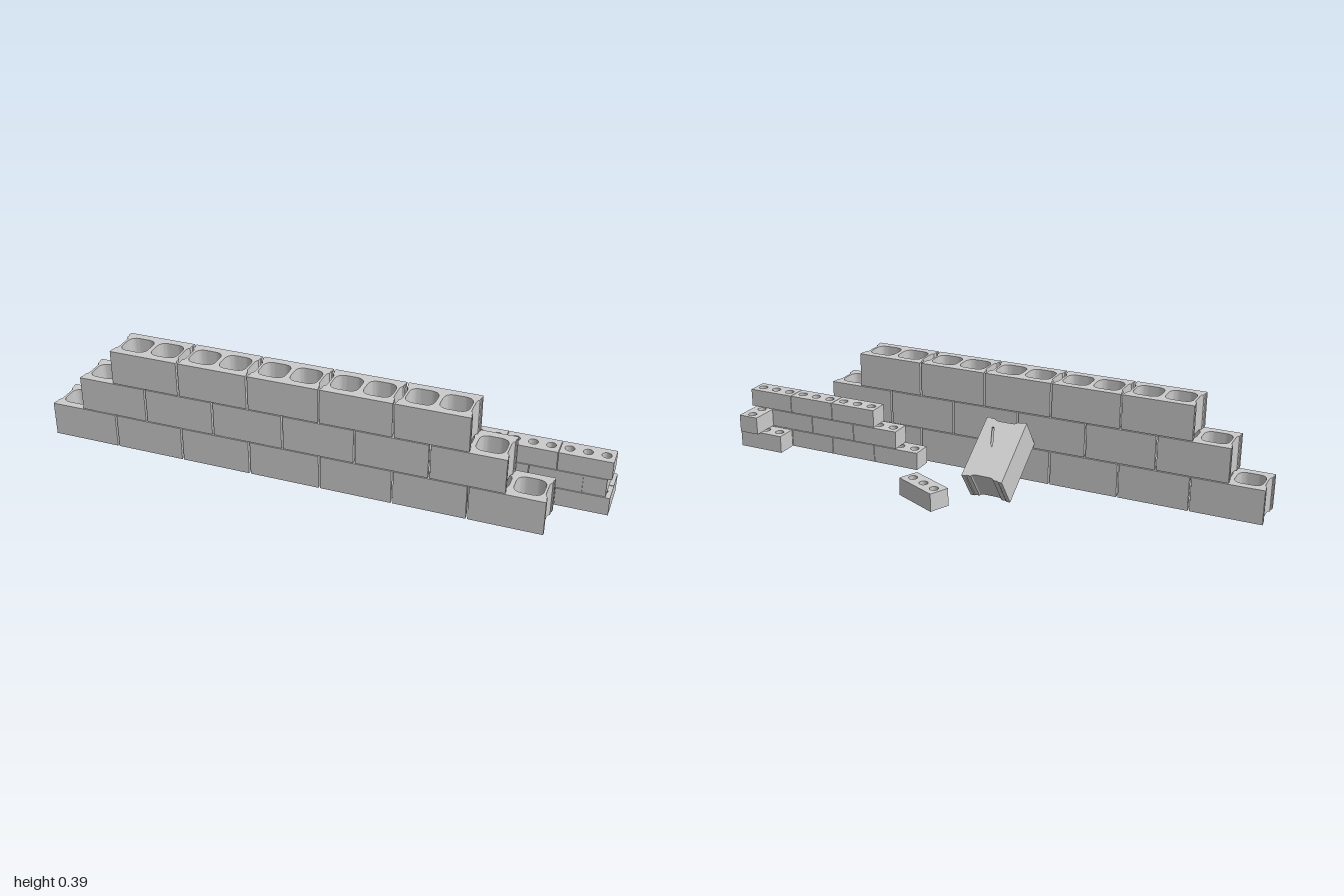
import * as THREE from 'three';
import { toCreasedNormals } from 'three/addons/utils/BufferGeometryUtils.js';

const material = new THREE.MeshStandardMaterial({ color: 0xcccccc });
const BLOCK = { l: 0.2545, w: 0.154, h: 0.127 };
const BRICK = { l: 0.1815, w: 0.078, h: 0.067 };

// Extrudes a plan outline upward from y = 0
function extrudeUp(shape, height) {
  const geo = new THREE.ExtrudeGeometry(shape, { depth: height, bevelEnabled: false, curveSegments: 8 });
  geo.rotateX(-Math.PI / 2);
  return toCreasedNormals(geo, 0.6);
}

// Block plan: flanged corners with a shallow curved groove in both ends
function blockOutline() {
  const a = BLOCK.l / 2, b = BLOCK.w / 2, d = 0.011;
  const s = new THREE.Shape();
  s.moveTo(-a, -b);
  s.lineTo(a, -b);
  for (const k of [1, -1]) {
    s.lineTo(k * a, -k * 0.063);
    s.lineTo(k * (a - 0.003), -k * 0.06);
    s.lineTo(k * (a - 0.003), -k * 0.043);
    s.quadraticCurveTo(k * (a - d), -k * 0.04, k * (a - d), -k * 0.022);
    s.lineTo(k * (a - d), k * 0.022);
    s.quadraticCurveTo(k * (a - d), k * 0.04, k * (a - 0.003), k * 0.043);
    s.lineTo(k * (a - 0.003), k * 0.06);
    s.lineTo(k * a, k * 0.063);
    s.lineTo(k * a, k * b);
    if (k === 1) s.lineTo(-a, b);
  }
  return s;
}

// Rounded core opening
function coreHole(cx) {
  const x = 0.05, y = 0.048, r = 0.034;
  const p = new THREE.Path();
  p.moveTo(cx - x + r, -y);
  p.lineTo(cx + x - r, -y);
  p.quadraticCurveTo(cx + x, -y, cx + x, -y + r);
  p.lineTo(cx + x, y - r);
  p.quadraticCurveTo(cx + x, y, cx + x - r, y);
  p.lineTo(cx - x + r, y);
  p.quadraticCurveTo(cx - x, y, cx - x, y - r);
  p.lineTo(cx - x, -y + r);
  p.quadraticCurveTo(cx - x, -y, cx - x + r, -y);
  return p;
}

function blockGeometry(height) {
  const s = blockOutline();
  s.holes.push(coreHole(-0.058), coreHole(0.058));
  return extrudeUp(s, height);
}

// Brick with three round holes
function brickGeometry() {
  const a = BRICK.l / 2, b = BRICK.w / 2;
  const s = new THREE.Shape([[-a, -b], [a, -b], [a, b], [-a, b]].map(p => new THREE.Vector2(...p)));
  for (const x of [-0.061, 0, 0.061]) {
    s.holes.push(new THREE.Path().absarc(x, 0, 0.0165, 0, Math.PI * 2, true));
  }
  return extrudeUp(s, BRICK.h);
}

function add(parent, name, geo, x, y, z, turn = 0) {
  const mesh = new THREE.Mesh(geo, material);
  mesh.name = name;
  mesh.position.set(x, y, z);
  mesh.rotation.y = turn;
  parent.add(mesh);
  return mesh;
}

export function createModel() {
  const model = new THREE.Group();
  model.name = 'masonryWalls';

  // Stepped wall of hollow blocks
  const wall = new THREE.Group();
  wall.name = 'blockWall';
  model.add(wall);
  const block = blockGeometry(BLOCK.h);
  [[-1, 7], [-0.874, 6], [-0.74, 5]].forEach(([start, count], row) => {
    for (let i = 0; i < count; i++) {
      add(wall, 'wallBlock', block, start + BLOCK.l / 2 + i * 0.261, row * 0.13, 0.2);
    }
  });

  // Small stepped brick wall with a returning corner
  const brickWall = new THREE.Group();
  brickWall.name = 'brickWall';
  model.add(brickWall);
  const brick = brickGeometry();
  [[0.267, 4], [0.356, 3], [0.449, 3]].forEach(([start, count], row) => {
    for (let i = 0; i < count; i++) {
      add(brickWall, 'wallBrick', brick, start + BRICK.l / 2 + i * 0.1835, 0.004 + row * 0.0695, 0.059);
    }
  });
  add(brickWall, 'cornerBrickLower', brick, 0.908, 0.004, -0.022);
  add(brickWall, 'cornerBrickMiddle', brick, 0.944, 0.0735, 0.006, Math.PI / 2);

  // Loose brick on the ground
  add(model, 'looseBrick', brick, 0.12, 0.002, -0.201, -25 * Math.PI / 180);

  // Tilted block: cores closed on top by a skin with a narrow slit
  const leaning = new THREE.Group();
  leaning.name = 'leaningBlock';
  const skin = 0.006;
  add(leaning, 'leaningBlockBody', blockGeometry(BLOCK.h - skin), 0, -BLOCK.h / 2, 0);
  const cap = blockOutline();
  cap.holes.push(new THREE.Path([[0.006, 0.012], [0.03, 0.017], [0.09, 0.036], [0.088, 0.043], [0.02, 0.022]]
    .map(p => new THREE.Vector2(...p))));
  add(leaning, 'leaningBlockTop', extrudeUp(cap, skin), 0, BLOCK.h / 2 - skin, 0);
  const t = 34.8 * Math.PI / 180, c = Math.cos(t), n = Math.sin(t);
  leaning.quaternion.setFromRotationMatrix(new THREE.Matrix4().makeBasis(
    new THREE.Vector3(0, n, c), new THREE.Vector3(0, c, -n), new THREE.Vector3(-1, 0, 0)));
  leaning.position.set(-0.085, 0.1275, -0.019);
  model.add(leaning);

  return model;
}
